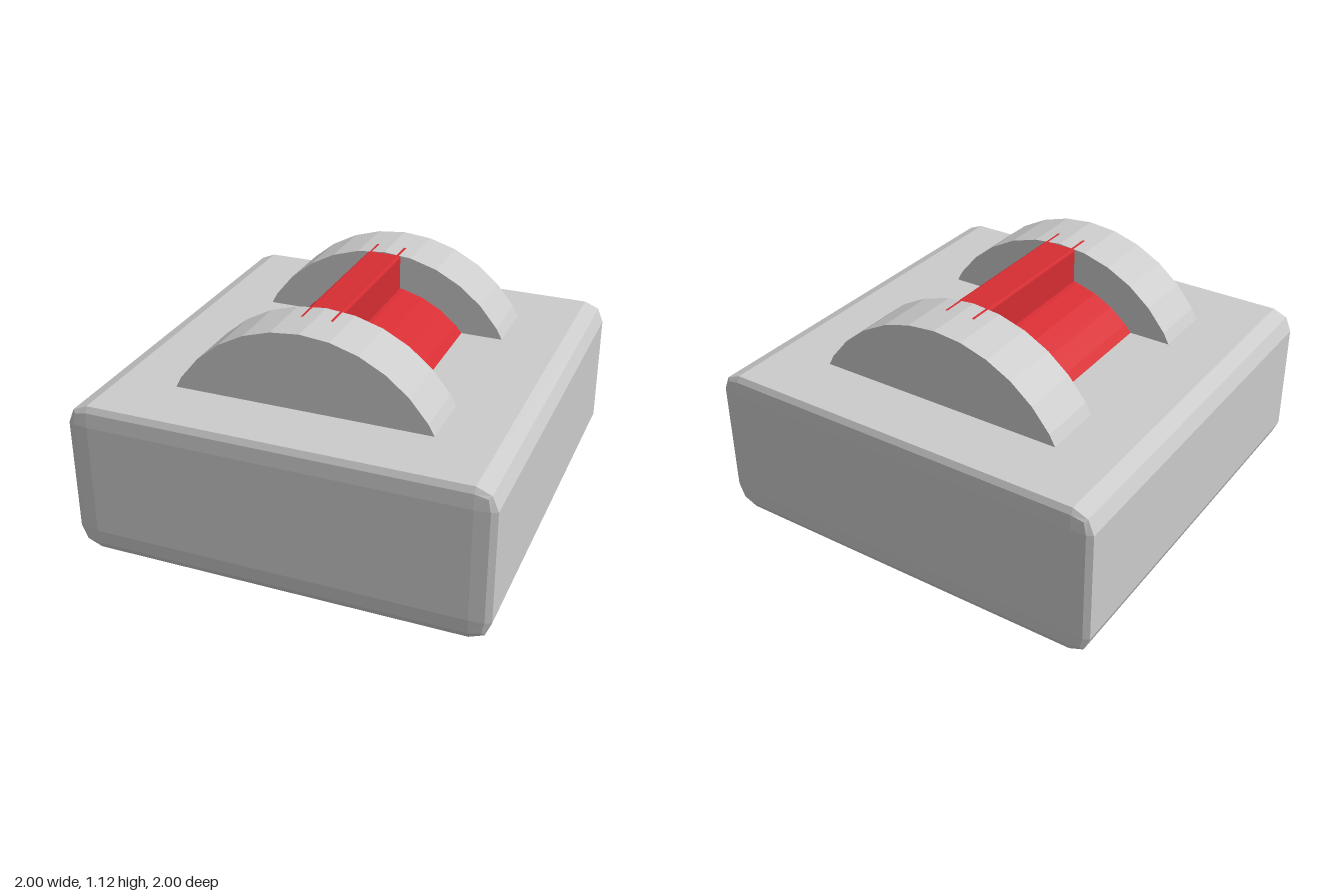
import * as THREE from 'three';
import { RoundedBoxGeometry } from 'three/addons/geometries/RoundedBoxGeometry.js';

const grey = new THREE.MeshStandardMaterial({ color: 0xcccccc, flatShading: true });
const red = new THREE.MeshStandardMaterial({ color: 0xd62d33, flatShading: true });
const AXLE_Y = 0.407;

function addMesh(group, name, geometry, material, y, z = 0) {
  const mesh = new THREE.Mesh(geometry, material);
  mesh.name = name;
  mesh.position.set(0, y, z);
  group.add(mesh);
}

// Upper half of a drum lying along z, 32 sides to the full circle
function halfDrum(radius, depth) {
  return new THREE.CylinderGeometry(radius, radius, depth, 16, 1, false, Math.PI / 2, Math.PI)
    .rotateX(Math.PI / 2);
}

export function createModel() {
  const group = new THREE.Group();

  // Bevelled housing; the bevel is squeezed thin towards front and back
  const housing = new RoundedBoxGeometry(2, 0.75, 10, 1, 0.1).scale(1, 1, 0.2);
  addMesh(group, 'housing', housing, grey, 0.375);

  // Two side discs rising out of the housing
  for (const [name, side] of [['frontDisc', 1], ['backDisc', -1]]) {
    addMesh(group, name, halfDrum(0.713, 0.3), grey, AXLE_Y, side * 0.516);
  }

  // Red drum between the discs
  addMesh(group, 'drum', halfDrum(0.54, 0.76), red, AXLE_Y);

  // Raised ridge on the drum, its ends sunk into the discs
  const ridgeTop = 1.1135;
  const ridgeHeight = 0.6;
  addMesh(group, 'ridge', new RoundedBoxGeometry(0.17, ridgeHeight, 0.97, 1, 0.01), red,
    ridgeTop - ridgeHeight / 2);

  return group;
}
